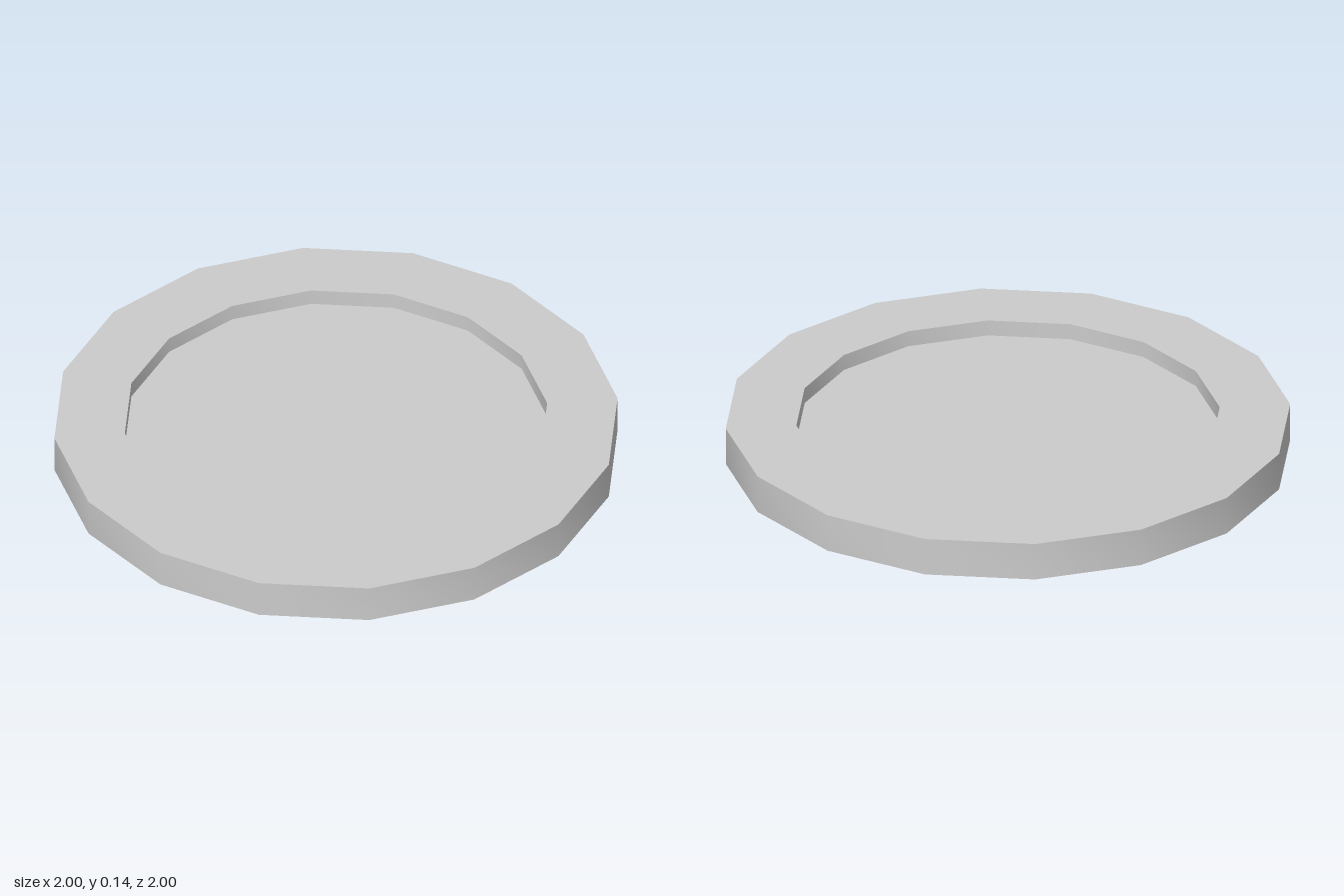
import * as THREE from 'three';
import { toCreasedNormals } from 'three/addons/utils/BufferGeometryUtils.js';

const SIDES = 16;
const HEIGHT = 0.14;
const INNER = 0.75;
const PANEL = 0.022;

export function createModel() {
  const group = new THREE.Group();
  const material = new THREE.MeshStandardMaterial({ color: 0xcccccc });

  // Rim: rectangular section turned around the vertical axis
  const section = [[INNER, 0], [1, 0], [1, HEIGHT], [INNER, HEIGHT], [INNER, 0]]
    .map(([r, y]) => new THREE.Vector2(r, y));
  const rim = new THREE.Mesh(
    toCreasedNormals(new THREE.LatheGeometry(section, SIDES), Math.PI / 6), material);
  rim.name = 'rim';

  // Thin panel closing the ring at mid height, recessed on both faces
  const panel = new THREE.Mesh(
    new THREE.CylinderGeometry(INNER, INNER, PANEL, SIDES), material);
  panel.position.y = HEIGHT / 2;
  panel.name = 'panel';

  group.add(rim, panel);
  return group;
}
